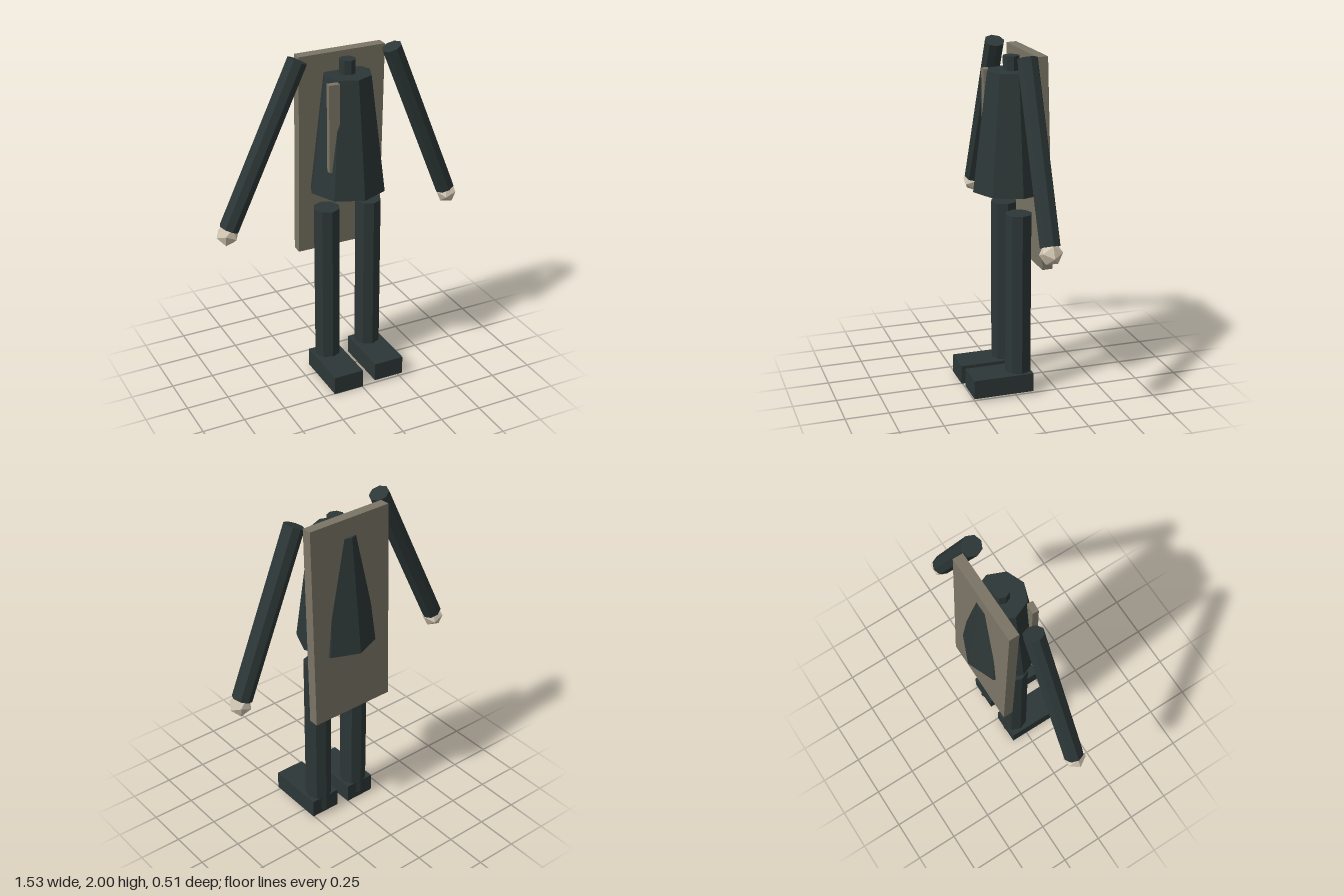
import * as THREE from 'three';

export function createModel() {
  const model = new THREE.Group();
  const mat = (name, color) => {
    const m = new THREE.MeshStandardMaterial({ color, flatShading: true });
    m.name = name;
    return m;
  };
  const dark = mat('dark slate', 0x2d3737);
  const drab = mat('drab cloth', 0x7a7565);
  const skin = mat('pale skin', 0xd2c6b2);
  const midX = 0.044, midZ = -0.035;

  const add = (name, geometry, material, x, y, z) => {
    const mesh = new THREE.Mesh(geometry, material);
    mesh.name = name;
    mesh.position.set(x, y, z);
    model.add(mesh);
    return mesh;
  };

  // Torso and neck
  add('torso', new THREE.CylinderGeometry(0.139, 0.223, 0.68, 8), dark, midX, 1.52, midZ);
  add('neck', new THREE.CylinderGeometry(0.048, 0.048, 0.1, 8), dark, midX, 1.89, midZ);

  // Cape board leaning behind the torso, and the strap on the chest
  add('cape', new THREE.BoxGeometry(0.525, 1.2, 0.06), drab, midX, 1.37, -0.144).rotation.x = 0.033;
  add('strap', new THREE.BoxGeometry(0.063, 0.51, 0.036), drab, -0.092, 1.595, 0.069).rotation.y = -0.08;

  // Legs and shoes
  for (const [side, legX, shoeX, shoeY] of [
    ['right', -0.087, -0.088, 0.056],
    ['left', 0.178, 0.176, 0.074],
  ]) {
    add(side + 'Leg', new THREE.CylinderGeometry(0.077, 0.077, 1.035, 8), dark, legX, 0.5555, midZ);
    add(side + 'Shoe', new THREE.BoxGeometry(0.183, 0.111, 0.355), dark, shoeX, shoeY, 0.077);
  }

  // Arms run from shoulder to wrist, each ending in a faceted hand
  for (const [side, top, wrist, hand] of [
    ['right', [-0.254, 1.975], [-0.683, 1.07], [-0.693, 1.036]],
    ['left', [0.317, 1.967], [0.691, 1.038], [0.704, 1.005]],
  ]) {
    const dx = top[0] - wrist[0], dy = top[1] - wrist[1];
    const angle = Math.atan2(dy, dx);
    const arm = add(side + 'Arm', new THREE.CylinderGeometry(0.058, 0.058, Math.hypot(dx, dy), 8), dark,
      (top[0] + wrist[0]) / 2, (top[1] + wrist[1]) / 2, midZ);
    arm.rotation.z = angle - Math.PI / 2;
    add(side + 'Hand', new THREE.IcosahedronGeometry(0.065), skin, hand[0], hand[1], midZ).rotation.z = angle;
  }

  return model;
}
